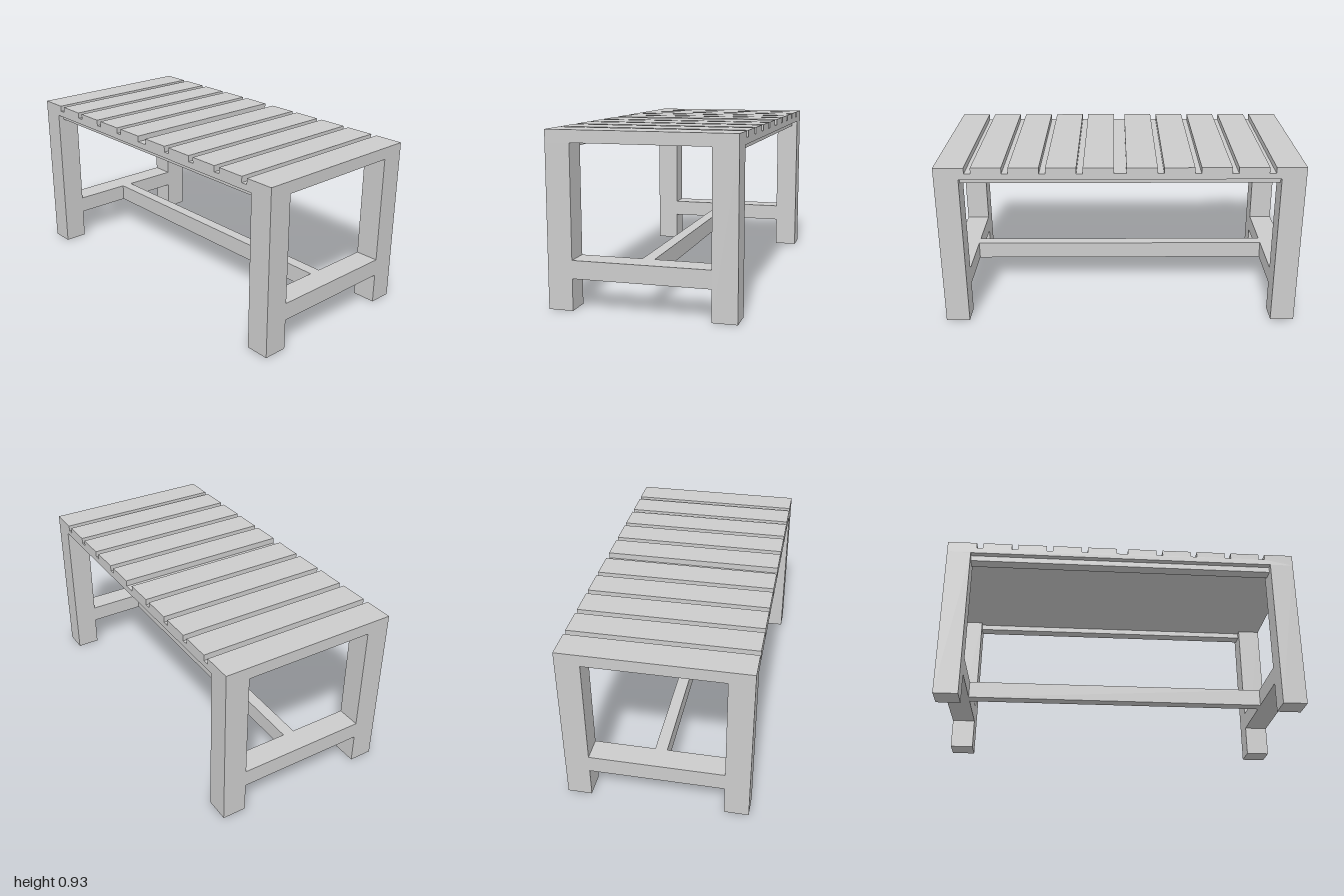
import * as THREE from 'three';

export function createModel() {
  const group = new THREE.Group();
  group.name = 'slattedBench';
  const material = new THREE.MeshStandardMaterial({ color: 0xcccccc, flatShading: true });

  const add = (name, geometry) => {
    const mesh = new THREE.Mesh(geometry, material);
    mesh.name = name;
    group.add(mesh);
  };
  // Box given by its limits on each axis
  const box = (name, [x0, x1], [y0, y1], [z0, z1]) =>
    add(name, new THREE.BoxGeometry(x1 - x0, y1 - y0, z1 - z0)
      .translate((x0 + x1) / 2, (y0 + y1) / 2, (z0 + z1) / 2));
  const span = (side, a, b) => (side > 0 ? [a, b] : [-b, -a]);

  const top = 0.933, under = 0.867, grooveFloor = 0.9;
  const inX = 0.867, inZ = 0.367;

  // Top: grooved profile extruded from back to front
  const grooves = [[-0.033, 0.033]];
  for (const x of [0.2, 0.4, 0.6, 0.8]) {
    grooves.push([x, x + 0.035], [-x - 0.035, -x]);
  }
  grooves.sort((a, b) => b[0] - a[0]);
  const profile = new THREE.Shape();
  profile.moveTo(-1, under);
  profile.lineTo(1, under);
  profile.lineTo(1, top);
  for (const [a, b] of grooves) {
    profile.lineTo(b, top);
    profile.lineTo(b, grooveFloor);
    profile.lineTo(a, grooveFloor);
    profile.lineTo(a, top);
  }
  profile.lineTo(-1, top);
  profile.closePath();
  add('slattedTop', new THREE.ExtrudeGeometry(profile, { depth: 1, bevelEnabled: false }).translate(0, 0, -0.5));

  // Legs and the low rails joining each end pair
  for (const sx of [1, -1]) {
    const side = sx > 0 ? 'left' : 'right';
    for (const sz of [1, -1]) {
      box(`${side}${sz > 0 ? 'Front' : 'Back'}Leg`, span(sx, inX, 1), [0, under], span(sz, inZ, 0.5));
    }
    box(`${side}EndRail`, span(sx, inX, 1), [0.17, 0.267], [-inZ, inZ]);
  }

  // Thin rails under the long edges of the top
  for (const sz of [1, -1]) {
    box(sz > 0 ? 'frontTopRail' : 'backTopRail', [-inX, inX], [0.835, under], span(sz, 0.4, 0.467));
  }

  // Central stretcher between the end rails
  box('stretcher', [-inX, inX], [0.17, 0.267], [-0.033, 0.033]);

  return group;
}
